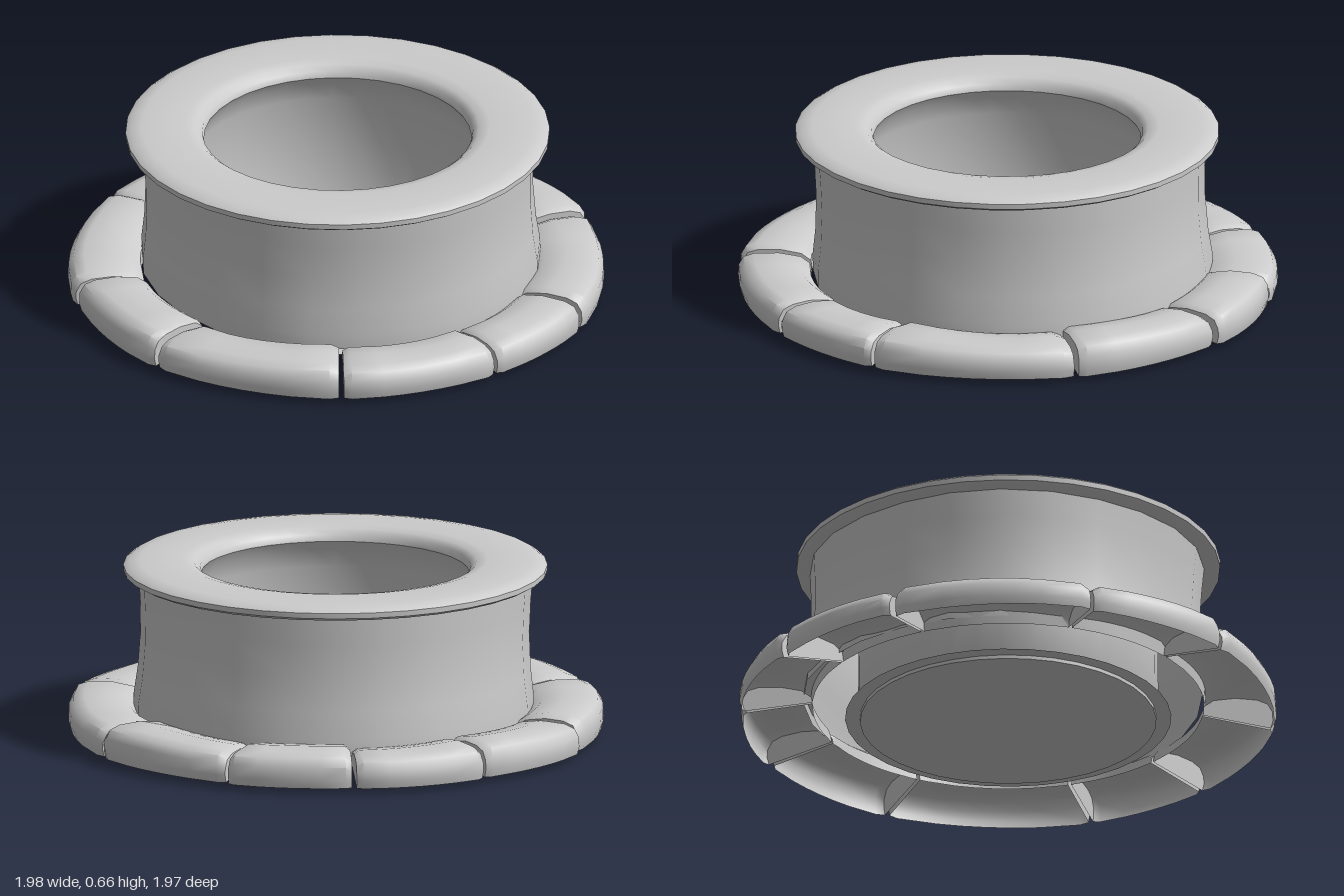
import * as THREE from 'three';
import { toCreasedNormals } from 'three/addons/utils/BufferGeometryUtils.js';

const material = new THREE.MeshStandardMaterial({ color: 0xcccccc, side: THREE.DoubleSide });

function makeMesh(name, geometry, crease = 0.6) {
  const mesh = new THREE.Mesh(toCreasedNormals(geometry, crease), material);
  mesh.name = name;
  return mesh;
}

const lathe = (points, sides) =>
  new THREE.LatheGeometry(points.map(([r, y]) => new THREE.Vector2(r, y)), sides);

// Irregular round wall, flaring at its foot
function wallGeometry() {
  const geometry = lathe([[0.735, 0.09], [0.735, 0.15], [0.722, 0.25], [0.715, 0.38], [0.718, 0.5], [0.725, 0.61]], 24);
  const pos = geometry.attributes.position;
  for (let i = 0; i < pos.count; i++) {
    const x = pos.getX(i), y = pos.getY(i), z = pos.getZ(i);
    const a = Math.atan2(z, x);
    const foot = Math.max(0, 1 - y / 0.6);
    const k = 1 - 0.032 * foot * Math.sin(a) - 0.006 * Math.sin(a) + 0.006 * Math.sin(5 * a + 1);
    pos.setXYZ(i, x * k, y, z * k);
  }
  return geometry;
}

// One hewn kerb stone between two angles, hollow and open underneath
function stoneGeometry(start, end, seed) {
  const steps = 8, positions = [], index = [];
  const wave = (a, f) => Math.sin(a * f + seed * 2.3);
  for (let i = 0; i <= steps; i++) {
    const t = i / steps;
    // Crowd the first and last sections towards the ends for rounded corners
    const u = i === 1 ? 0.05 : i === steps - 1 ? 0.95 : t;
    const a = start + (end - start) * u;
    const atEnd = i === 0 || i === steps;
    const R = 0.988 + 0.008 * wave(a, 5) - (atEnd ? 0.012 : 0);
    const h = 0.138 + 0.008 * wave(a, 4) - (atEnd ? 0.014 : 0);
    const profile = [
      [R - 0.008, 0.02], [R, 0.05], [R - 0.002, h - 0.045], [R - 0.02, h - 0.014], [R - 0.06, h],
      [0.84, h + 0.003], [0.76, h - 0.01], [0.725, h - 0.035], [0.72, 0.06],
    ];
    for (const [r, y] of profile) positions.push(r * Math.cos(a), y, r * Math.sin(a));
  }
  const n = positions.length / 3 / (steps + 1);
  for (let i = 0; i < steps; i++) {
    for (let j = 0; j < n - 1; j++) {
      const p = i * n + j;
      index.push(p, p + 1, p + n, p + 1, p + n + 1, p + n);
    }
  }
  // End faces
  const last = steps * n;
  for (let j = 1; j < n - 1; j++) {
    index.push(0, j + 1, j, last, last + j, last + j + 1);
  }
  const geometry = new THREE.BufferGeometry();
  geometry.setAttribute('position', new THREE.Float32BufferAttribute(positions, 3));
  geometry.setIndex(index);
  return geometry;
}

export function createModel() {
  const group = new THREE.Group();
  group.name = 'well';

  group.add(makeMesh('outerWall', wallGeometry()));

  // Rounded rim slab around the opening
  group.add(makeMesh('rim', lathe([
    [0.70, 0.602], [0.76, 0.604], [0.779, 0.615], [0.78, 0.635], [0.76, 0.648], [0.72, 0.654],
    [0.56, 0.656], [0.52, 0.648], [0.498, 0.63], [0.492, 0.605],
  ], 36), 0.9));

  // Inner shaft with a turned-out foot
  group.add(makeMesh('innerShaft', lathe([
    [0.492, 0.605], [0.515, 0.57], [0.54, 0.5], [0.55, 0.3], [0.553, 0.03], [0.545, 0.014], [0.6, 0.014],
  ], 36)));

  const floor = makeMesh('floor', new THREE.CylinderGeometry(0.545, 0.545, 0.014, 36));
  floor.position.y = 0.007;
  group.add(floor);

  // Ring of kerb stones, split at uneven angles
  const joints = [15, 51, 94.7, 129.3, 173.6, 205.5, 235.7, 264, 300.5, 346, 375];
  const ring = new THREE.Group();
  ring.name = 'kerbStones';
  const gap = 0.5;
  for (let i = 0; i < joints.length - 1; i++) {
    const start = THREE.MathUtils.degToRad(joints[i] + gap);
    const end = THREE.MathUtils.degToRad(joints[i + 1] - gap);
    ring.add(makeMesh('kerbStone' + (i + 1), stoneGeometry(start, end, i + 1), 0.8));
  }
  group.add(ring);

  return group;
}
